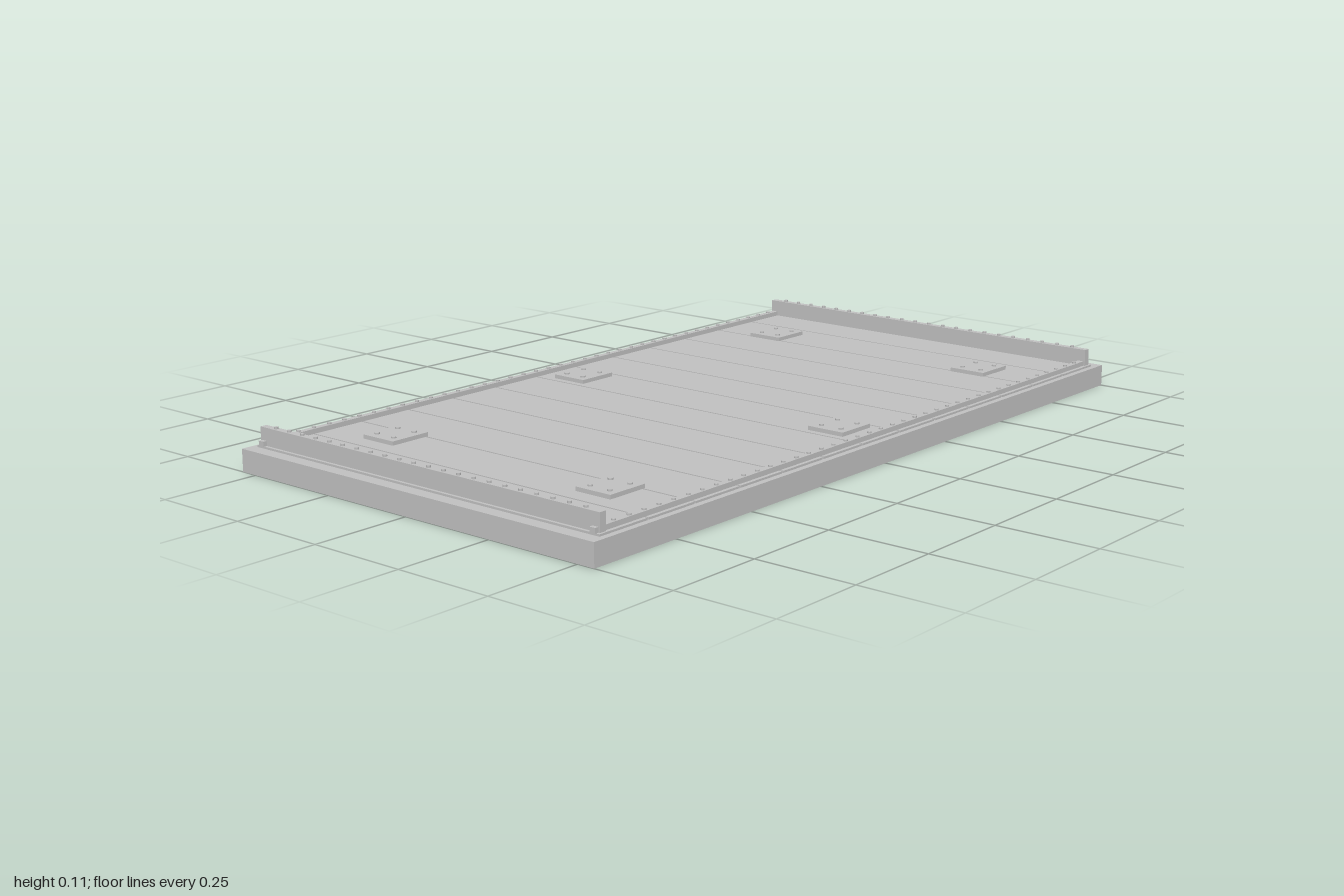
import * as THREE from 'three';

export function createModel() {
  const model = new THREE.Group();
  const steel = new THREE.MeshStandardMaterial({ color: 0xbfbfbf });
  steel.name = 'grey steel';

  function add(name, geometry, x, y, z, parent = model) {
    const mesh = new THREE.Mesh(geometry, steel);
    mesh.name = name;
    mesh.position.set(x, y, z);
    parent.add(mesh);
    return mesh;
  }
  // Box given by its size, the height of its underside and its centre
  const box = (name, w, h, d, x, y, z, parent) =>
    add(name, new THREE.BoxGeometry(w, h, d), x, y + h / 2, z, parent);

  // Base slab
  box('baseSlab', 2, 0.055, 1.09, 0, 0, 0);

  // Cross planks with narrow gaps
  const planks = 13, pitch = 1.94 / planks;
  for (let i = 0; i < planks; i++) {
    box('plank', pitch - 0.005, 0.005, 1.06, (i - (planks - 1) / 2) * pitch, 0.055, 0);
  }

  const studGeometry = new THREE.CylinderGeometry(0.005, 0.005, 0.005, 8);

  for (const side of [-1, 1]) {
    // Low rails along the long edges
    box('sideRail', 1.94, 0.012, 0.016, 0, 0.06, side * 0.513);
    for (let i = 0; i < 40; i++) {
      add('railStud', studGeometry, (i - 19.5) * 0.0465, 0.0735, side * 0.513);
    }
    // Tall walls across the ends
    box('endWall', 0.018, 0.043, 1.05, side * 0.951, 0.06, 0);
    for (let i = 0; i < 22; i++) {
      add('wallStud', studGeometry, side * 0.951, 0.1055, (i - 10.5) * 0.0457);
    }
  }

  // Bolted mounting plates
  const boltGeometry = new THREE.CylinderGeometry(0.006, 0.006, 0.004, 8);
  for (const x of [-0.72, 0, 0.72]) {
    for (const side of [-1, 1]) {
      const mount = new THREE.Group();
      mount.name = 'mountingPlate';
      mount.position.set(x, 0.06, side * (x === 0 ? 0.41 : 0.335));
      model.add(mount);
      box('plate', 0.11, 0.01, 0.1, 0, 0, 0, mount);
      for (const bx of [-0.032, 0.032]) {
        for (const bz of [-0.028, 0.028]) add('bolt', boltGeometry, bx, 0.012, bz, mount);
      }
    }
  }
  return model;
}
